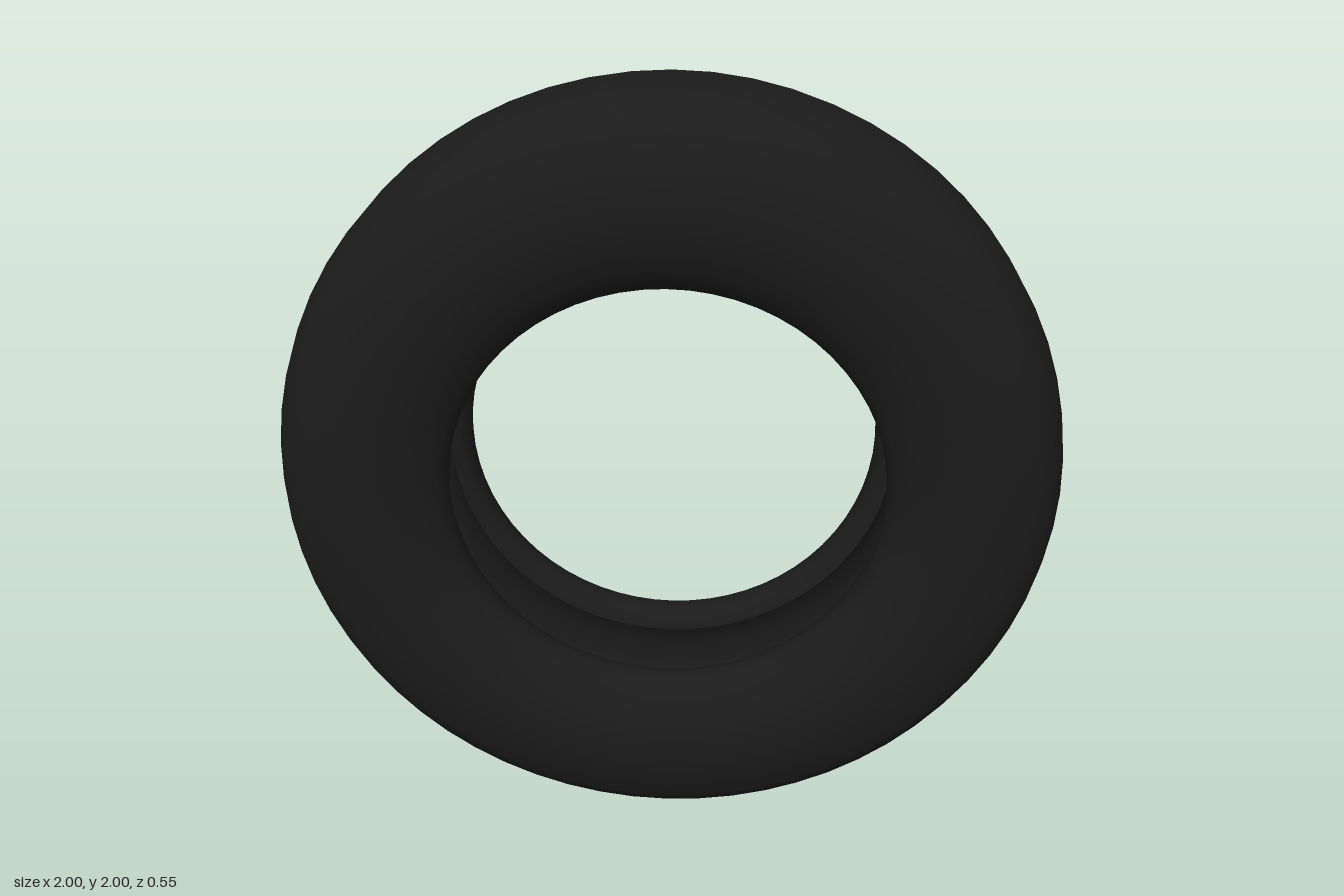
import * as THREE from 'three';

const SEGMENTS = 64;

// Half profiles as [radius, distance from the middle plane]
const CASING = [
  [0.6, 0.115], [0.575, 0.12], [0.557, 0.138], [0.55, 0.165], [0.553, 0.195],
  [0.572, 0.222], [0.62, 0.25], [0.68, 0.268], [0.75, 0.275], [0.82, 0.267],
  [0.9, 0.248], [0.945, 0.215], [0.967, 0.18], [0.988, 0.125], [1.0, 0.06],
];
const LINER = [
  [0.955, 0], [0.948, 0.08], [0.92, 0.16], [0.87, 0.21], [0.8, 0.232],
  [0.72, 0.232], [0.66, 0.215], [0.62, 0.17], [0.6, 0.115],
];

// Spin a profile about the z axis, with its centre one unit up
function ring(name, points, material) {
  const geometry = new THREE.LatheGeometry(points.map(([r, z]) => new THREE.Vector2(r, z)), SEGMENTS);
  geometry.rotateX(Math.PI / 2);
  const mesh = new THREE.Mesh(geometry, material);
  mesh.name = name;
  mesh.position.y = 1;
  return mesh;
}

const flip = ([r, z]) => [r, -z];

export function createModel() {
  const model = new THREE.Group();
  model.name = 'tyre';
  const rubber = new THREE.MeshStandardMaterial({ color: 0x1b1b1b });
  rubber.name = 'black rubber';

  // Tread, sidewalls and rounded beads, from back bead to front bead
  model.add(ring('casing', [...CASING.map(flip), ...CASING.slice().reverse()], rubber));

  // Hollow inside of the tyre, opening between the two beads
  model.add(ring('innerLiner', [...LINER.slice().reverse(), ...LINER.slice(1).map(flip)], rubber));

  return model;
}
